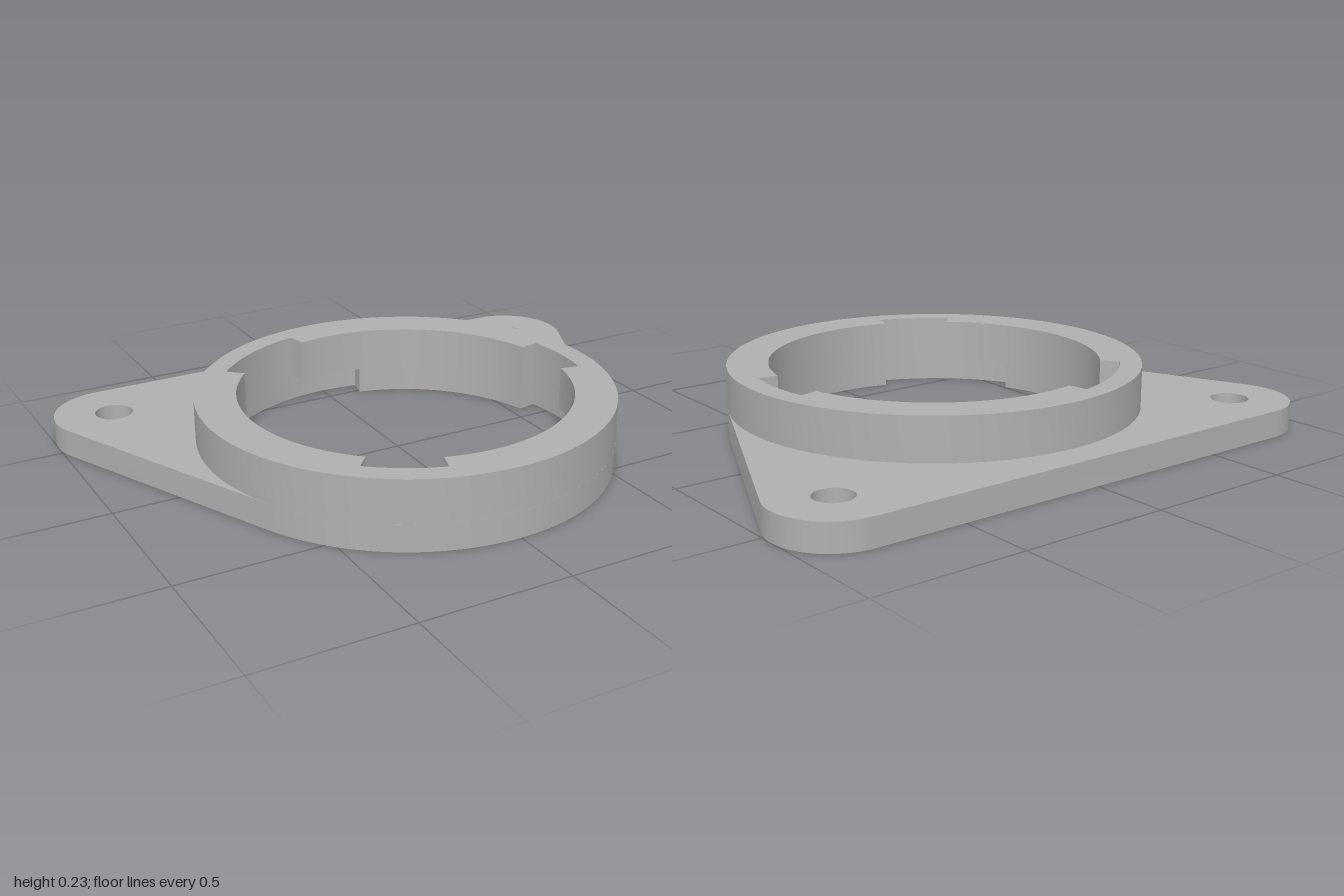
import * as THREE from 'three';
import { toCreasedNormals } from 'three/addons/utils/BufferGeometryUtils.js';

const RING_Z = 0.053, RING_R = 0.69, BORE_R = 0.552, SLOT_R = 0.617;
const EAR = { x: 0.8, z: -0.545, r: 0.2, hole: 0.063 };
const FLANGE_H = 0.09, TOTAL_H = 0.235;
const LOCK_TURN = 24; // degrees each locking groove runs past its entry slot
const SLOTS = [[-132, -108], [-12, 12], [102, 138]]; // entry slots, degrees
const rad = THREE.MathUtils.degToRad;

// Round bore widened to SLOT_R over each angular range
function boreWithSlots(slots) {
  const path = new THREE.Path();
  slots.forEach(([from, to], i) => {
    const next = i + 1 < slots.length ? slots[i + 1][0] : slots[0][0] + 360;
    path.absarc(0, -RING_Z, SLOT_R, rad(from), rad(to), false);
    path.absarc(0, -RING_Z, BORE_R, rad(to), rad(next), false);
  });
  path.closePath();
  return path;
}

// Extrude a plan shape (its y is -z) upwards from a given height
function slab(shape, y, height) {
  const geometry = new THREE.ExtrudeGeometry(shape, {
    depth: height, bevelEnabled: false, curveSegments: 36,
  });
  geometry.rotateX(-Math.PI / 2).translate(0, y, 0);
  return toCreasedNormals(geometry, 0.5);
}

export function createModel() {
  const group = new THREE.Group();
  group.name = 'bayonetMountRing';
  const grey = new THREE.MeshStandardMaterial({ color: 0xb0b0b0 });
  grey.name = 'grey';

  const add = (name, geometry) => {
    const mesh = new THREE.Mesh(geometry, grey);
    mesh.name = name;
    group.add(mesh);
  };

  // Flange: two ears joined to the ring by tangent lines
  const dx = EAR.x, dy = -EAR.z + RING_Z;
  const tangent = Math.atan2(dy, dx) - Math.acos((RING_R - EAR.r) / Math.hypot(dx, dy));
  const flange = new THREE.Shape();
  flange.absarc(EAR.x, -EAR.z, EAR.r, tangent, Math.PI / 2, false);
  flange.absarc(-EAR.x, -EAR.z, EAR.r, Math.PI / 2, Math.PI - tangent, false);
  flange.absarc(0, -RING_Z, RING_R, Math.PI - tangent, Math.PI * 2 + tangent, false);
  flange.closePath();

  // Bore with locking grooves, open underneath, and the screw holes
  flange.holes.push(boreWithSlots(SLOTS.map(([from, to]) => [from - LOCK_TURN, to])));
  for (const side of [-1, 1]) {
    const hole = new THREE.Path();
    hole.absarc(side * EAR.x, -EAR.z, EAR.hole, 0, Math.PI * 2, false);
    flange.holes.push(hole);
  }
  add('flange', slab(flange, 0, FLANGE_H));

  // Raised collar with the entry slots only
  const collar = new THREE.Shape();
  collar.absarc(0, -RING_Z, RING_R, tangent, tangent + Math.PI * 2, false);
  collar.holes.push(boreWithSlots(SLOTS));
  add('collar', slab(collar, FLANGE_H, TOTAL_H - FLANGE_H));

  return group;
}
